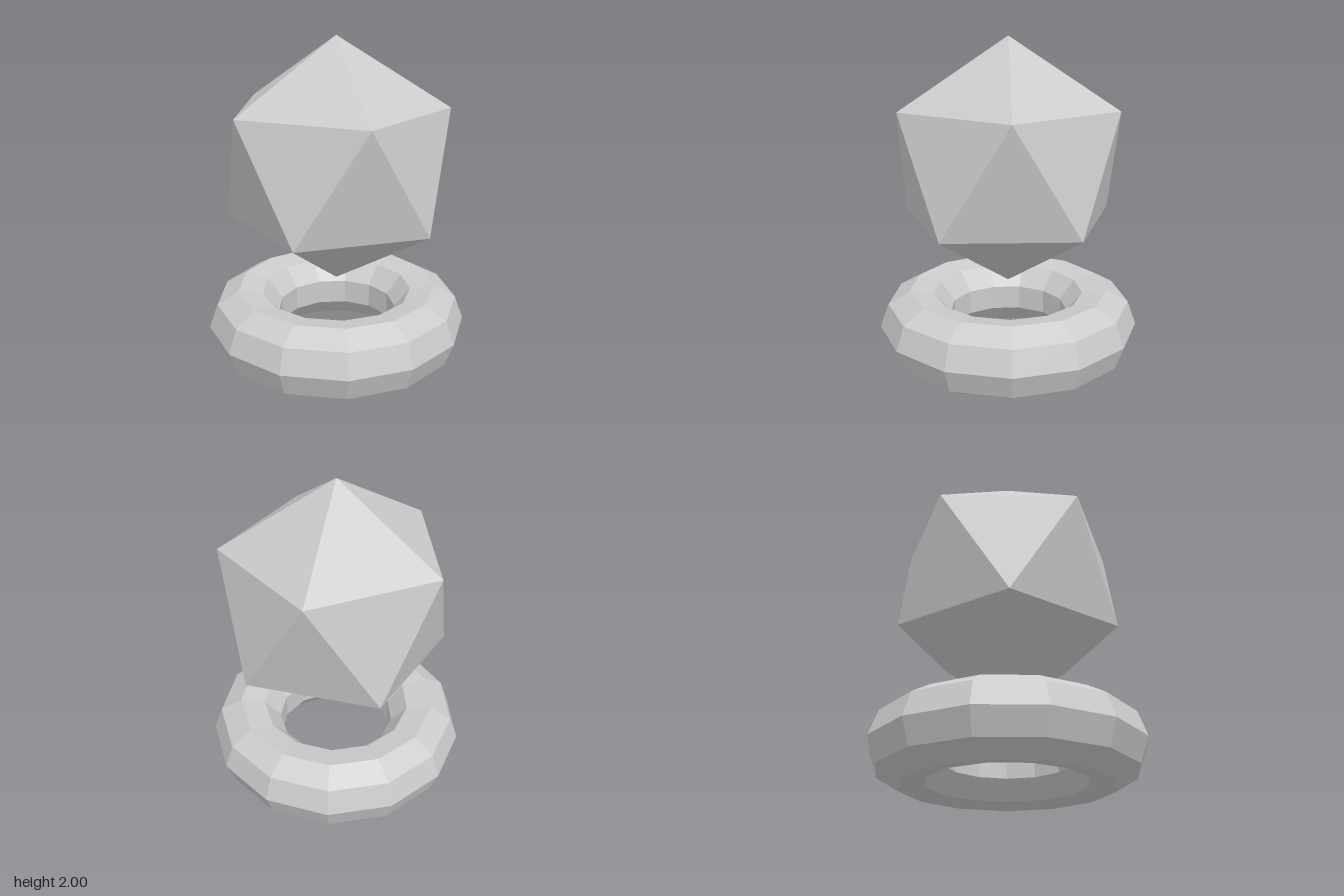
import * as THREE from 'three';

export function createModel() {
  const model = new THREE.Group();
  model.name = 'gemOverRing';
  const material = new THREE.MeshStandardMaterial({ color: 0xcccccc, flatShading: true });
  // The 13-sided ring is not symmetric in x, so the shared axis sits slightly off centre
  const axisX = -0.012;

  function addPart(name, geometry, y) {
    const mesh = new THREE.Mesh(geometry, material);
    mesh.name = name;
    mesh.position.set(axisX, y, 0);
    model.add(mesh);
  }

  // Ring lying flat: 9-sided section, 13 segments around, one corner on +x
  const tube = 0.226;
  const ring = new THREE.TorusGeometry(0.581, tube, 9, 13);
  ring.rotateX(-Math.PI / 2);
  addPart('baseRing', ring, tube * Math.sin(THREE.MathUtils.degToRad(80)));

  // Icosahedron balanced on a vertex, one upper corner towards +x
  const gem = new THREE.IcosahedronGeometry(0.755, 0);
  gem.rotateX(-Math.atan((1 + Math.sqrt(5)) / 2));
  gem.rotateY(Math.PI / 2);
  addPart('floatingGem', gem, 1.245);

  return model;
}
